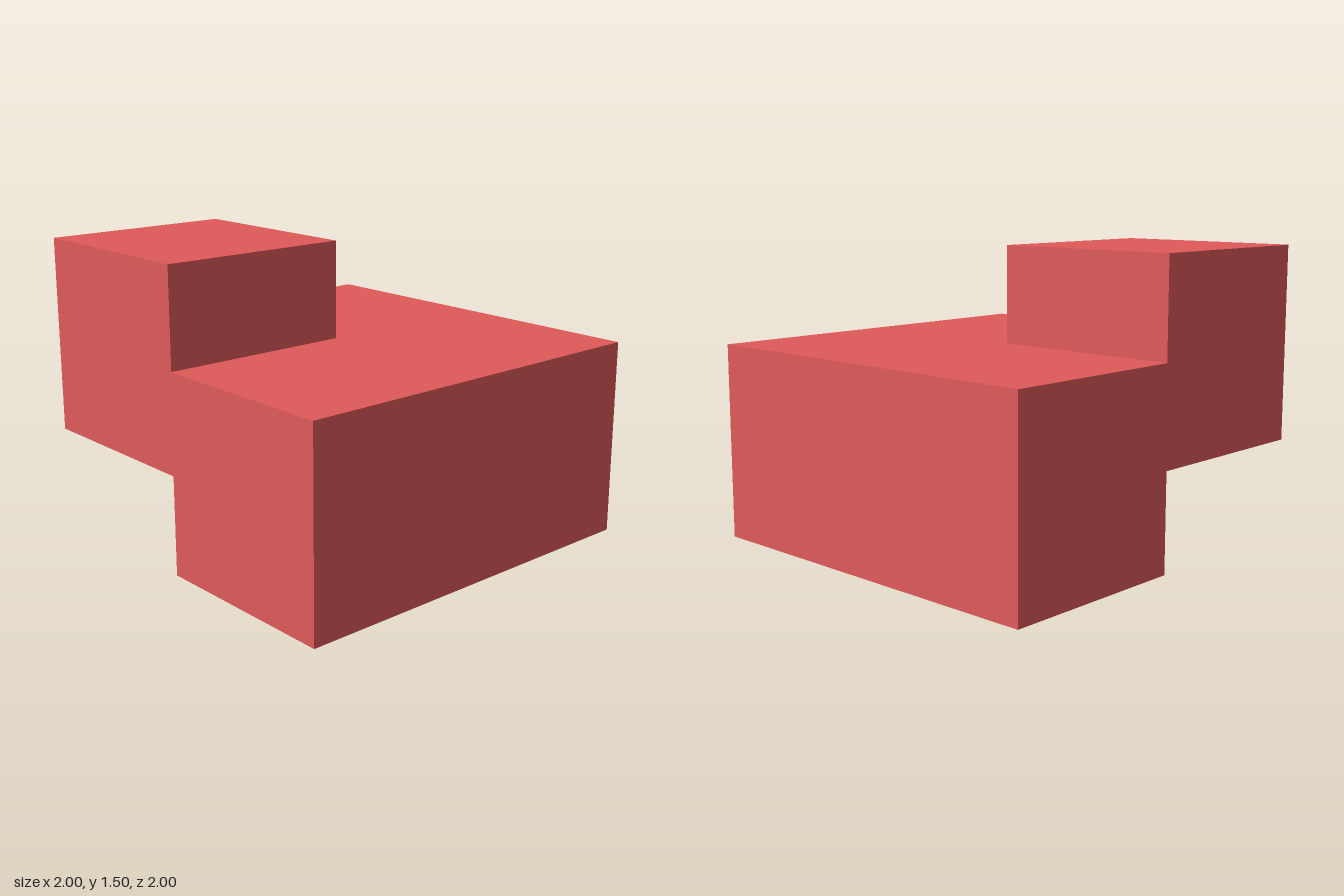
import * as THREE from 'three';

export function createModel() {
  const group = new THREE.Group();
  const material = new THREE.MeshStandardMaterial({ color: 0xe05a5a, flatShading: true });

  // L-shaped base: a square slab with its front right quarter left out
  const outline = new THREE.Shape(
    [[0, -1], [1, -1], [1, 1], [-1, 1], [-1, 0], [0, 0]].map(([x, y]) => new THREE.Vector2(x, y))
  );
  const baseGeometry = new THREE.ExtrudeGeometry(outline, { depth: 1, bevelEnabled: false });
  baseGeometry.rotateX(-Math.PI / 2);
  const base = new THREE.Mesh(baseGeometry, material);
  base.name = 'base';
  group.add(base);

  // Raised cube hanging in the open corner, overlapping the base slightly
  const cube = new THREE.Mesh(new THREE.BoxGeometry(1, 1, 1), material);
  cube.name = 'raisedCube';
  cube.position.set(-0.495, 0.995, 0.495);
  group.add(cube);

  return group;
}
